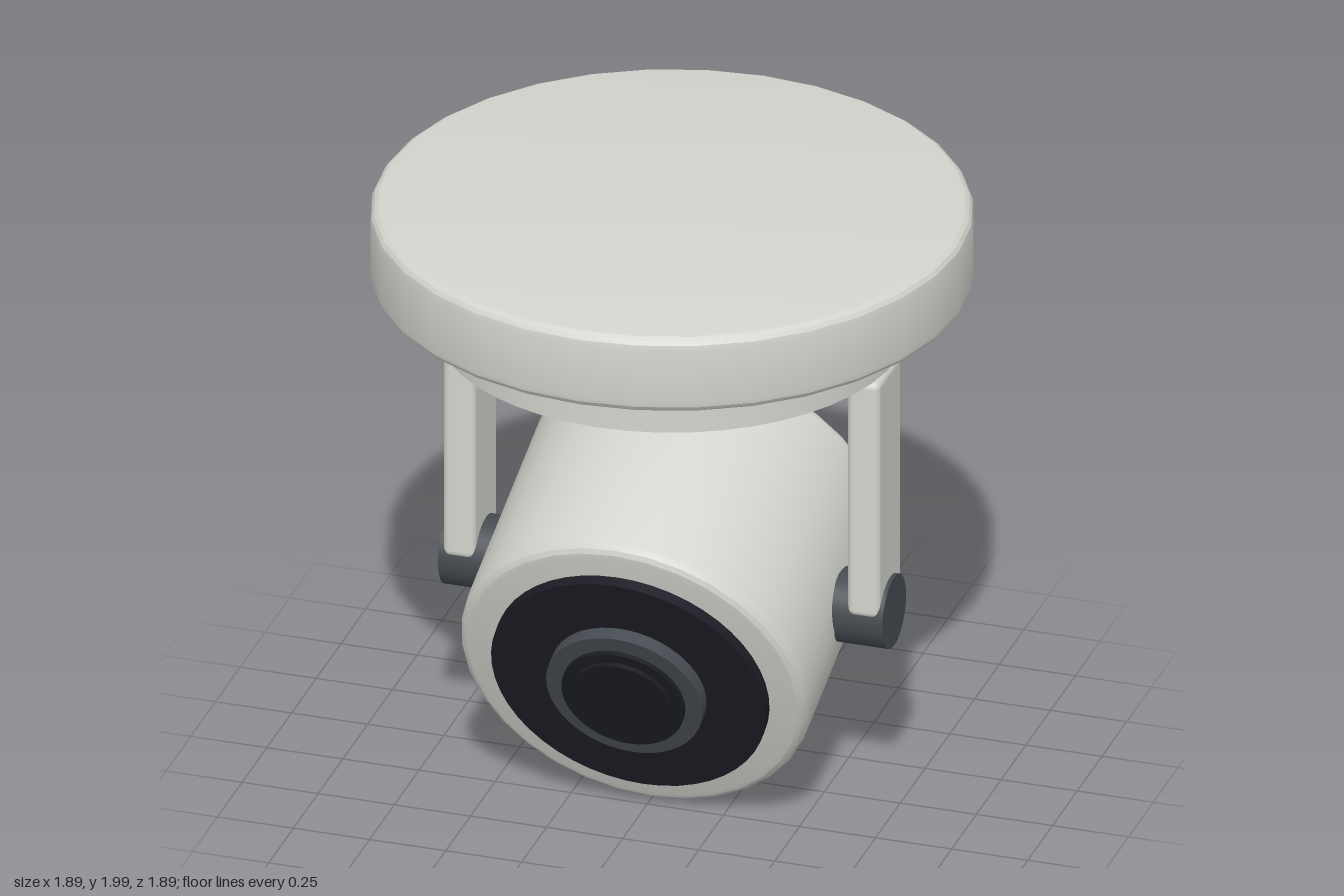
import * as THREE from 'three';
import { toCreasedNormals } from 'three/addons/utils/BufferGeometryUtils.js';
import { RoundedBoxGeometry } from 'three/addons/geometries/RoundedBoxGeometry.js';

const material = (name, color) => {
  const m = new THREE.MeshStandardMaterial({ color });
  m.name = name;
  return m;
};

// Solid disc with rounded rims, running from y0 to y1
function roundedDisc(radius, y0, y1, bevel, segments = 32) {
  const points = [new THREE.Vector2(0, y0)];
  const steps = 4;
  for (const [cy, start] of [[y0 + bevel, -Math.PI / 2], [y1 - bevel, 0]]) {
    for (let i = 0; i <= steps; i++) {
      const a = start + (i / steps) * Math.PI / 2;
      points.push(new THREE.Vector2(radius - bevel + bevel * Math.cos(a), cy + bevel * Math.sin(a)));
    }
  }
  points.push(new THREE.Vector2(0, y1));
  return toCreasedNormals(new THREE.LatheGeometry(points, segments), 0.35);
}

// Plain cylinder running from y0 to y1
function disc(radius, y0, y1, segments = 48) {
  return new THREE.CylinderGeometry(radius, radius, y1 - y0, segments).translate(0, (y0 + y1) / 2, 0);
}

export function createModel() {
  const shell = material('warm light grey', 0xd3d4cd);
  const black = material('seal black', 0x15161b);
  const glass = material('face black', 0x1d1c25);
  const grey = material('slate grey', 0x464b51);
  const lensDark = material('lens black', 0x1b1c22);

  const model = new THREE.Group();
  model.name = 'ceilingCamera';
  const add = (parent, name, geometry, mat) => {
    const mesh = new THREE.Mesh(geometry, mat);
    mesh.name = name;
    parent.add(mesh);
    return mesh;
  };

  // Ceiling mount
  add(model, 'ceilingPlate', roundedDisc(0.945, 1.735, 2, 0.04), shell);
  add(model, 'sealRing', disc(0.855, 1.708, 1.74), black);
  add(model, 'mountBase', disc(0.745, 1.572, 1.71), shell);

  // Yoke
  add(model, 'crossbar', new RoundedBoxGeometry(1.22, 0.16, 0.24, 3, 0.02).translate(0, 1.545, 0), shell);
  for (const [side, s] of [['left', 1], ['right', -1]]) {
    add(model, side + 'Arm',
      new RoundedBoxGeometry(0.107, 0.83, 0.24, 3, 0.025).translate(s * 0.664, 1.115, 0), shell);
    const knob = add(model, side + 'Pivot', disc(0.12, 0.5, 0.73, 32), grey);
    knob.rotation.z = -s * Math.PI / 2;
    knob.position.y = 0.68;
  }

  // Camera head: built along +y, then turned forward and tilted 20 degrees down
  const head = new THREE.Group();
  head.name = 'head';
  head.position.y = 0.68;
  head.rotation.x = Math.PI / 2 + THREE.MathUtils.degToRad(20);
  model.add(head);
  add(head, 'housing', roundedDisc(0.57, -0.43, 0.43, 0.045), shell);
  add(head, 'facePlate', disc(0.449, 0.42, 0.468), glass);
  add(head, 'lensRing', disc(0.255, 0.46, 0.515), grey);
  add(head, 'lensBarrel', disc(0.2, 0.51, 0.532), lensDark);
  add(head, 'lens', disc(0.165, 0.525, 0.548), lensDark);

  return model;
}
